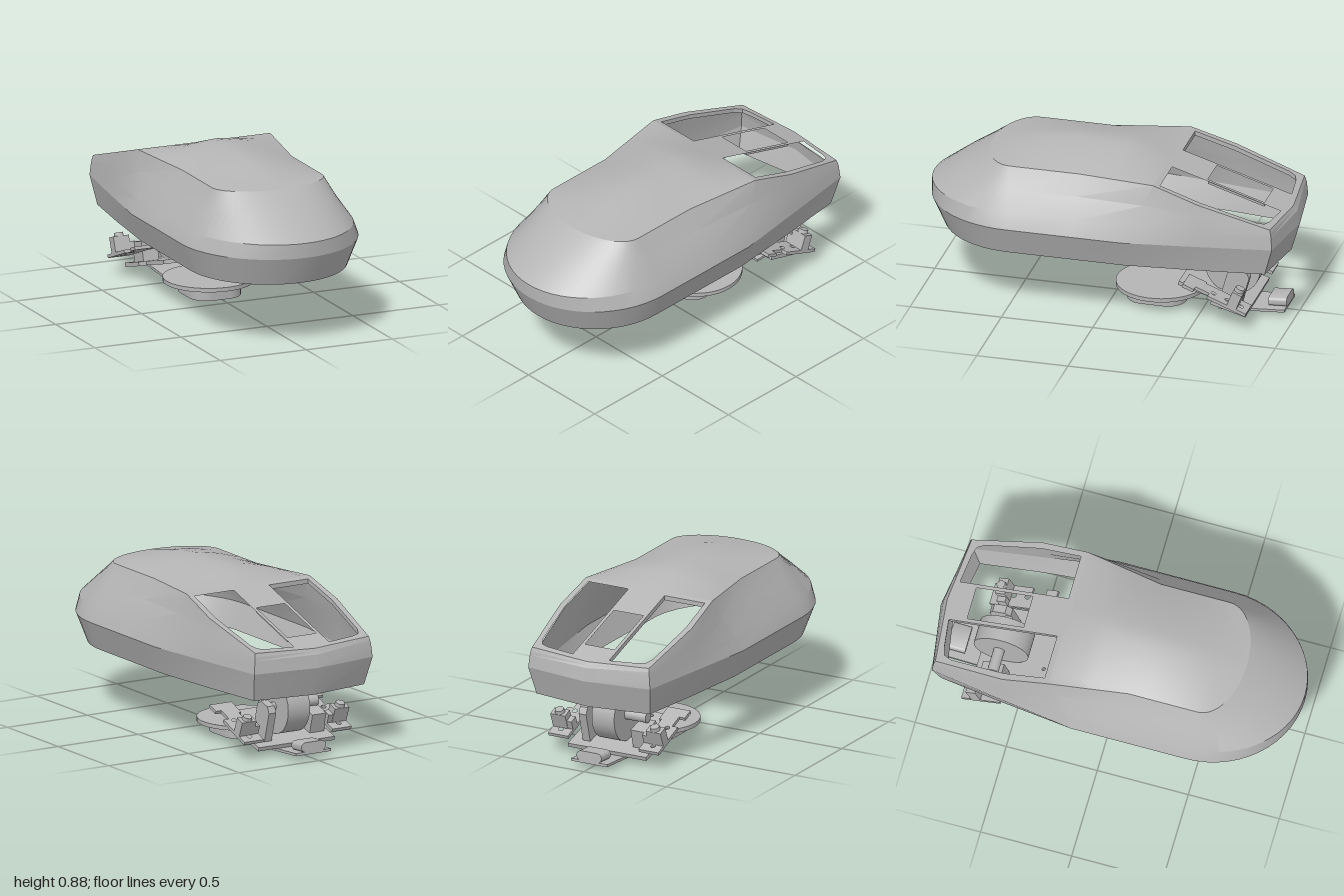
import * as THREE from 'three';
import { toCreasedNormals } from 'three/addons/utils/BufferGeometryUtils.js';

const plastic = new THREE.MeshStandardMaterial({ color: 0xb4b4b4 });
plastic.name = 'greyPlastic';

function add(parent, name, geometry, x = 0, y = 0, z = 0) {
  const mesh = new THREE.Mesh(geometry, plastic);
  mesh.name = name;
  mesh.position.set(x, y, z);
  parent.add(mesh);
  return mesh;
}

// Surface through rows of [x, y, z] points; it faces (row step) x (column step)
function grid(rows) {
  const n = rows[0].length, index = [];
  for (let r = 0; r < rows.length - 1; r++) {
    for (let c = 0; c < n - 1; c++) {
      const a = r * n + c, b = a + n;
      index.push(a, b, a + 1, b, b + 1, a + 1);
    }
  }
  const g = new THREE.BufferGeometry();
  g.setAttribute('position', new THREE.Float32BufferAttribute(rows.flat(2), 3));
  g.setIndex(index);
  return toCreasedNormals(g, 0.3);
}

// Flat plate from an (x, z) outline, with optional holes, base at y = 0
function plate(outline, thickness, holes = []) {
  const toPoints = (list) => list.map(([x, z]) => new THREE.Vector2(x, -z));
  const shape = new THREE.Shape(toPoints(outline));
  for (const h of holes) shape.holes.push(new THREE.Path(toPoints(h)));
  const g = new THREE.ExtrudeGeometry(shape, { depth: thickness, bevelEnabled: false });
  return g.rotateX(-Math.PI / 2);
}

const rect = (x0, x1, z0, z1) => [[x0, z0], [x1, z0], [x1, z1], [x0, z1]];
const circle = (x, z, r) => Array.from({ length: 14 }, (_, i) => {
  const a = (i / 14) * Math.PI * 2;
  return [x + r * Math.cos(a), z + r * Math.sin(a)];
});

// Half outlines of the body from back centre to flank, then the z of the nose
const halfRings = [
  { nose: 0.93, side: [[0, 0.35, -0.955], [0.345, 0.35, -0.9], [0.39, 0.35, -0.55], [0.43, 0.35, -0.15], [0.43, 0.35, 0.12], [0.43, 0.35, 0.48]] },
  { nose: 1, side: [[0, 0.505, -1], [0.37, 0.505, -0.945], [0.43, 0.505, -0.55], [0.487, 0.505, -0.15], [0.487, 0.505, 0.12], [0.487, 0.505, 0.48]] },
  { nose: 1, side: [[0, 0.575, -0.985], [0.363, 0.575, -0.94], [0.42, 0.585, -0.55], [0.455, 0.585, -0.18], [0.455, 0.585, 0.12], [0.455, 0.585, 0.48]] },
  { nose: 0.85, side: [[0, 0.59, -0.975], [0.36, 0.598, -0.935], [0.41, 0.67, -0.55], [0.41, 0.7, -0.25], [0.38, 0.695, 0.12], [0.38, 0.695, 0.49]] },
  { nose: 0.68, side: [[0, 0.605, -0.965], [0.355, 0.616, -0.93], [0.4, 0.734, -0.55], [0.385, 0.812, -0.3], [0.32, 0.8, 0.12], [0.32, 0.8, 0.5]] },
];
const ARC = 14;

function halfRing({ nose, side }) {
  const points = [...side], [w, y, z0] = side[side.length - 1];
  for (let i = 1; i <= ARC; i++) {
    const a = (i / ARC) * Math.PI / 2;
    points.push([i === ARC ? 0 : w * Math.cos(a), y, z0 + (nose - z0) * Math.sin(a)]);
  }
  return points;
}

function fullRing(half) {
  return [...half, ...half.slice(0, -1).reverse().map(([x, y, z]) => [-x, y, z])];
}

// Height of the top along the centre line
const ridge = [[-0.3, 0.812], [-0.15, 0.866], [-0.07, 0.88], [0.22, 0.88], [0.4, 0.86], [0.68, 0.8]];
function along(table, v, column) {
  let i = 1;
  while (i < table.length - 1 && v > table[i][0]) i++;
  const a = table[i - 1], b = table[i];
  const t = Math.min(1, (v - a[0]) / (b[0] - a[0]));
  return a[column] + (b[column] - a[column]) * t;
}

function capRows(topHalf) {
  const edge = topHalf.slice(3).map(([x, y, z]) => [z, x, y]);
  const stations = [-0.3, -0.15, -0.07, 0.03, 0.12, 0.22, 0.31, 0.4, ...edge.slice(2).map((e) => e[0])];
  return stations.map((z) => {
    const w = along(edge, z, 1), ye = along(edge, z, 2), yc = along(ridge, z, 1);
    return Array.from({ length: 17 }, (_, i) => {
      const t = i / 8 - 1;
      return [w * t, ye + (yc - ye) * (1 - Math.abs(t) ** 1.5), z];
    });
  });
}

function buildShell() {
  const shell = new THREE.Group();
  shell.name = 'shell';
  const halves = halfRings.map(halfRing);
  const rings = halves.map(fullRing);
  const cap = capRows(halves[4]);
  const inset = (drop) => ([x, y, z]) => [x * 0.955, y - drop, z * 0.975];
  const innerRings = rings.map((r, i) => r.map(inset(i ? 0.02 : 0)));
  add(shell, 'outerWall', grid(rings));
  add(shell, 'topCover', grid(cap));
  add(shell, 'innerWall', grid([...innerRings].reverse()));
  add(shell, 'innerCover', grid(cap.map((r) => r.map(inset(0.02))).reverse()));
  add(shell, 'bottomRim', grid([innerRings[0], rings[0]]));

  // Sloping rear deck with two large openings and the wheel slot
  const opening = [[0.11, -0.925], [0.27, -0.905], [0.315, -0.89], [0.335, -0.85], [0.365, -0.55], [0.355, -0.33], [0.11, -0.33]];
  const deck = plate(
    [[0, -0.965], [0.355, -0.93], [0.4, -0.55], [0.385, -0.3], [-0.385, -0.3], [-0.4, -0.55], [-0.355, -0.93]], 0.025,
    [opening, opening.map(([x, z]) => [-x, z]), rect(-0.09, 0.09, -0.83, -0.52)]);
  const p = deck.attributes.position;
  for (let i = 0; i < p.count; i++) {
    p.setY(i, p.getY(i) - 0.025 + 0.812 + 0.311 * (p.getZ(i) + 0.3));
  }
  deck.computeVertexNormals();
  add(shell, 'rearDeck', deck);
  return shell;
}

function tilted(name, y, z, angle) {
  const g = new THREE.Group();
  g.name = name;
  g.position.set(0, y, z);
  g.rotation.x = angle;
  return g;
}

function buildWorks() {
  const works = new THREE.Group();
  works.name = 'innerWorks';

  // Round flange over a rounded lens block
  add(works, 'lensFlange', new THREE.CylinderGeometry(0.243, 0.243, 0.022, 48), 0, 0.075, -0.243);
  const s = new THREE.Shape(), hx = 0.145, hz = 0.16, r = 0.1;
  for (const [sx, sz, start] of [[1, 1, 0], [-1, 1, 1], [-1, -1, 2], [1, -1, 3]]) {
    s.absarc(sx * (hx - r), sz * (hz - r), r, start * Math.PI / 2, (start + 1) * Math.PI / 2, false);
  }
  const lens = new THREE.ExtrudeGeometry(s, { depth: 0.066, bevelEnabled: false, curveSegments: 8 });
  add(works, 'lensBlock', toCreasedNormals(lens.rotateX(-Math.PI / 2), 0.4), 0, 0, -0.23);

  // Scroll wheel and its axle
  const rod = (radius, length, sides) => new THREE.CylinderGeometry(radius, radius, length, sides).rotateZ(Math.PI / 2);
  add(works, 'scrollWheel', rod(0.15, 0.136, 48), -0.002, 0.235, -0.65);
  add(works, 'encoderAxle', rod(0.03, 0.13, 24), -0.132, 0.235, -0.66);
  add(works, 'shortAxle', rod(0.022, 0.065, 24), 0.09, 0.235, -0.66);

  // Sloping main board, narrow in front and wide behind
  const main = tilted('mainBoard', 0.085, -0.57, -0.275);
  add(main, 'boardPlate', plate([[-0.2, 0.205], [0.155, 0.205], [0.155, 0.0], [0.23, 0.0], [0.23, -0.2], [-0.245, -0.2], [-0.245, -0.02], [-0.2, -0.02]], 0.022,
    [circle(-0.08, 0.17, 0.009), circle(0.14, 0.17, 0.009)]));
  add(main, 'axleBlock', new THREE.BoxGeometry(0.09, 0.11, 0.12), -0.175, 0.075, -0.07);
  const tab = new THREE.Shape();
  tab.moveTo(-0.06, 0).lineTo(0.06, 0).lineTo(0.06, 0.17).lineTo(0.035, 0.2).lineTo(-0.035, 0.2).lineTo(-0.06, 0.17);
  const bracket = new THREE.ExtrudeGeometry(tab, { depth: 0.045, bevelEnabled: false }).rotateY(Math.PI / 2);
  add(main, 'wheelBracket', bracket, 0.12, 0.02, -0.09);
  works.add(main);

  // A small sloping switch board on each side
  for (const side of [1, -1]) {
    const board = tilted(side > 0 ? 'leftSwitchBoard' : 'rightSwitchBoard', 0.15, -0.615, -0.368);
    const outline = [[0.215, -0.185], [0.335, -0.185], [0.335, 0.04], [0.3, 0.04], [0.3, 0.12], [0.335, 0.12], [0.335, 0.185], [0.2, 0.185], [0.2, 0.08], [0.215, 0.08]];
    const flip = (list) => list.map(([x, z]) => [side * x, z]);
    const holes = [-0.14, -0.06, 0.02].map((z) => flip(circle(0.28, z, 0.014)));
    add(board, 'switchPlate', plate(flip(outline), 0.018, holes));
    add(board, 'switchBody', new THREE.BoxGeometry(0.09, 0.085, 0.055), side * 0.29, 0.06, -0.1);
    add(board, 'switchBase', new THREE.BoxGeometry(0.12, 0.05, 0.05), side * 0.275, 0.042, -0.1);
    add(board, 'switchButton', new THREE.CylinderGeometry(0.025, 0.028, 0.02, 8), side * 0.29, 0.112, -0.1);
    works.add(board);
  }

  // Rear connector board with a pill-shaped socket
  const rear = tilted('connectorBoard', 0.016, -0.765, 0.06);
  add(rear, 'connectorPlate', plate(rect(-0.11, 0.11, -0.18, 0.18), 0.014));
  const pill = new THREE.Shape();
  pill.absarc(0.05, 0, 0.026, -Math.PI / 2, Math.PI / 2, false);
  pill.absarc(-0.05, 0, 0.026, Math.PI / 2, Math.PI * 1.5, false);
  const socket = new THREE.ExtrudeGeometry(pill, { depth: 0.1, bevelEnabled: false, curveSegments: 8 });
  add(rear, 'socket', toCreasedNormals(socket, 0.5), 0, 0.04, -0.185);
  works.add(rear);
  return works;
}

export function createModel() {
  const model = new THREE.Group();
  model.name = 'computerMouse';
  model.add(buildShell(), buildWorks());
  return model;
}
